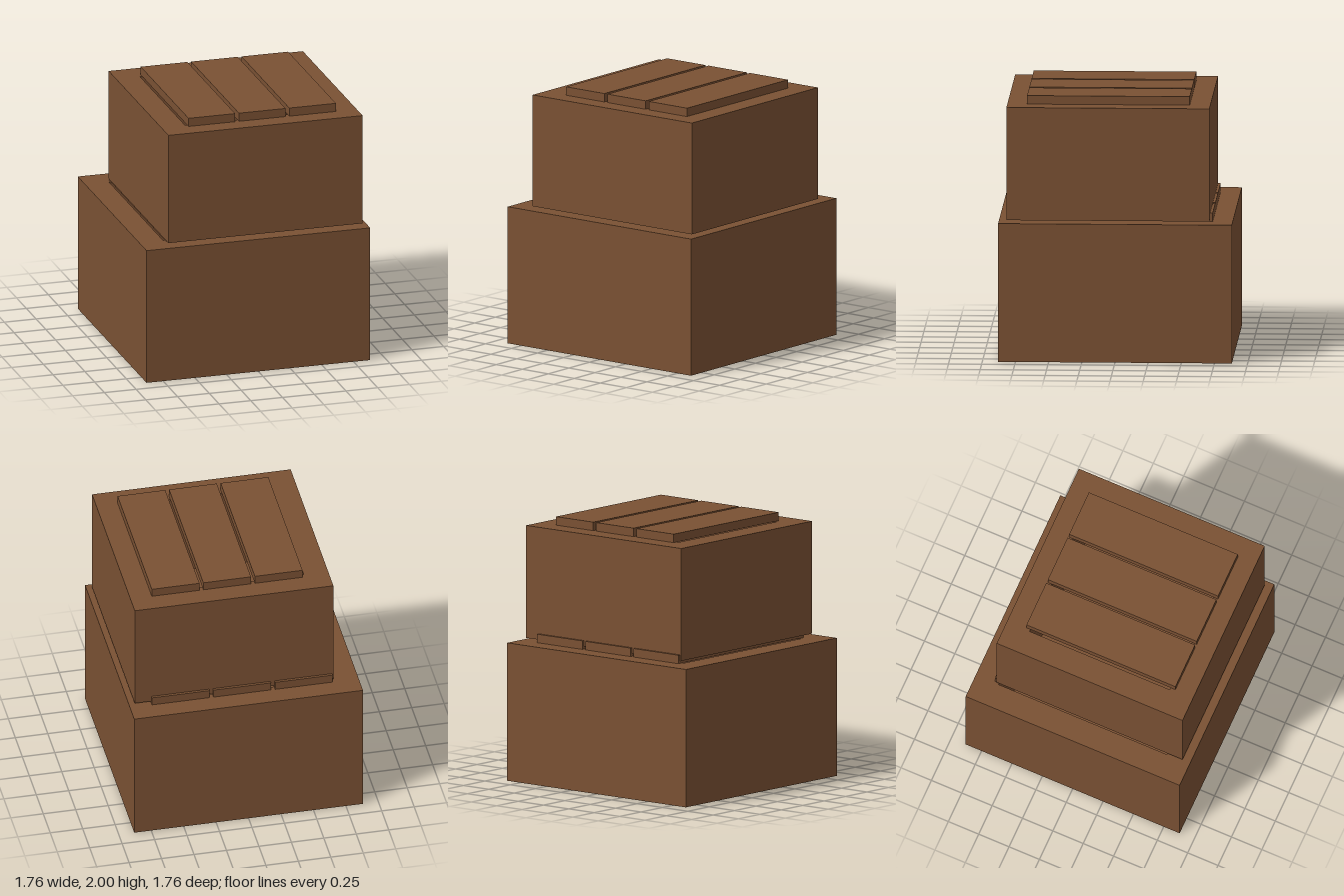
import * as THREE from 'three';

const wood = new THREE.MeshStandardMaterial({ color: 0x7a5133 });
wood.name = 'brown wood';

// Open square crate as one four-sided turned shell: base, walls, rim, inside and floor
function crateShell(width, height, wall) {
  const r = (width / 2) * Math.SQRT2;
  const inner = (width / 2 - wall) * Math.SQRT2;
  const profile = [[0, 0], [r, 0], [r, height], [inner, height], [inner, wall], [0, wall]]
    .map(([x, y]) => new THREE.Vector2(x, y));
  const geometry = new THREE.LatheGeometry(profile, 4, Math.PI / 4).toNonIndexed();
  geometry.computeVertexNormals(); // flat faces
  return geometry;
}

// Crate with three loose lid planks lying across its opening
function makeCrate({ name, width, height, position, planks }) {
  const crate = new THREE.Group();
  crate.name = name;
  crate.position.set(...position);

  const body = new THREE.Mesh(crateShell(width, height, 0.1875), wood);
  body.name = 'crateBody';
  crate.add(body);

  const geometry = new THREE.BoxGeometry(planks.width, 0.065, planks.length);
  for (let i = -1; i <= 1; i++) {
    const plank = new THREE.Mesh(geometry, wood);
    plank.name = 'lidPlank';
    plank.position.set(planks.x + i * (planks.width + 0.03), height + 0.0325, planks.z);
    crate.add(plank);
  }
  return crate;
}

export function createModel() {
  const model = new THREE.Group();
  model.name = 'stackedCrates';
  model.add(
    makeCrate({
      name: 'lowerCrate', width: 1.762, height: 1.055, position: [0, 0, 0],
      planks: { width: 0.444, length: 1.46, x: 0.016, z: 0 },
    }),
    makeCrate({
      name: 'upperCrate', width: 1.53, height: 0.86, position: [0.075, 1.075, 0.055],
      planks: { width: 0.367, length: 1.226, x: 0.02, z: 0.003 },
    }),
  );
  return model;
}
